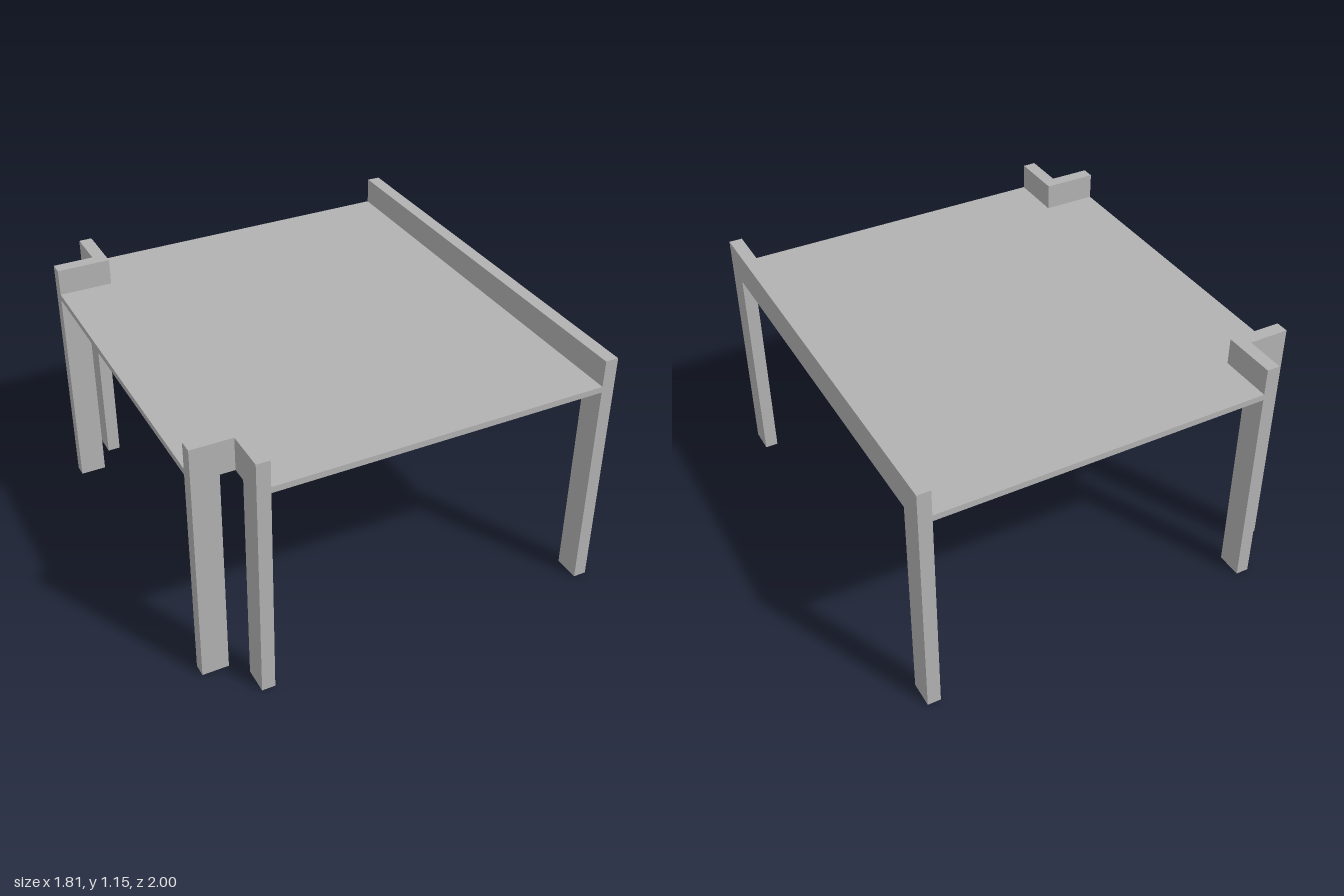
import * as THREE from 'three';

const X = 0.905, Z = 1, T = 0.06, LEG = 0.12; // half extents, plank thickness, leg width
const BASE = 1, TOP = 1.15, SLAB = 0.028;
const NX = -0.66, NZ = 0.75; // inner corner of the notches

function extrude(points, depth) {
  const shape = new THREE.Shape(points.map(([x, y]) => new THREE.Vector2(x, y)));
  return new THREE.ExtrudeGeometry(shape, { depth, bevelEnabled: false });
}

export function createModel() {
  const model = new THREE.Group();
  model.name = 'table';
  const grey = new THREE.MeshStandardMaterial({ color: 0xb2b2b2 });
  grey.name = 'grey';

  const add = (parent, name, geometry) => {
    const mesh = new THREE.Mesh(geometry, grey);
    mesh.name = name;
    parent.add(mesh);
    return mesh;
  };
  const box = (parent, name, x0, x1, y0, y1, z0, z1) =>
    add(parent, name, new THREE.BoxGeometry(x1 - x0, y1 - y0, z1 - z0))
      .position.set((x0 + x1) / 2, (y0 + y1) / 2, (z0 + z1) / 2);

  // Thin top, notched at the two corners on the -x side
  const edge = X - T;
  const top = extrude([
    [edge, -Z], [edge, Z], [NX, Z], [NX, NZ], [-X, NZ],
    [-X, -NZ], [NX, -NZ], [NX, -Z],
  ], SLAB);
  top.rotateX(-Math.PI / 2).translate(0, BASE, 0);
  add(model, 'tabletop', top);

  // Side frame: full-length rail with a leg at each end, one flat piece
  const inner = Z - LEG;
  const frame = extrude([
    [-Z, 0], [-inner, 0], [-inner, BASE], [inner, BASE],
    [inner, 0], [Z, 0], [Z, TOP], [-Z, TOP],
  ], T);
  frame.rotateY(Math.PI / 2).translate(edge, 0, 0);
  add(model, 'sideFrame', frame);

  // Corner brackets: an L-shaped rail on two separate legs
  for (const [side, s] of [['front', 1], ['back', -1]]) {
    const bracket = new THREE.Group();
    bracket.name = side + 'CornerBracket';
    model.add(bracket);
    const span = (a, b) => (s > 0 ? [a, b] : [-b, -a]);
    const rail = extrude([
      [-X, NZ], [NX, NZ], [NX, Z], [NX - T, Z], [NX - T, NZ + T], [-X, NZ + T],
    ].map(([x, z]) => [x, -s * z]), TOP - BASE);
    rail.rotateX(-Math.PI / 2).translate(0, BASE, 0);
    add(bracket, 'cornerRail', rail);
    box(bracket, 'outerLeg', -X, -X + LEG, 0, BASE, ...span(NZ, NZ + T));
    box(bracket, 'endLeg', NX - T, NX, 0, BASE, ...span(Z - LEG, Z));
  }
  return model;
}
